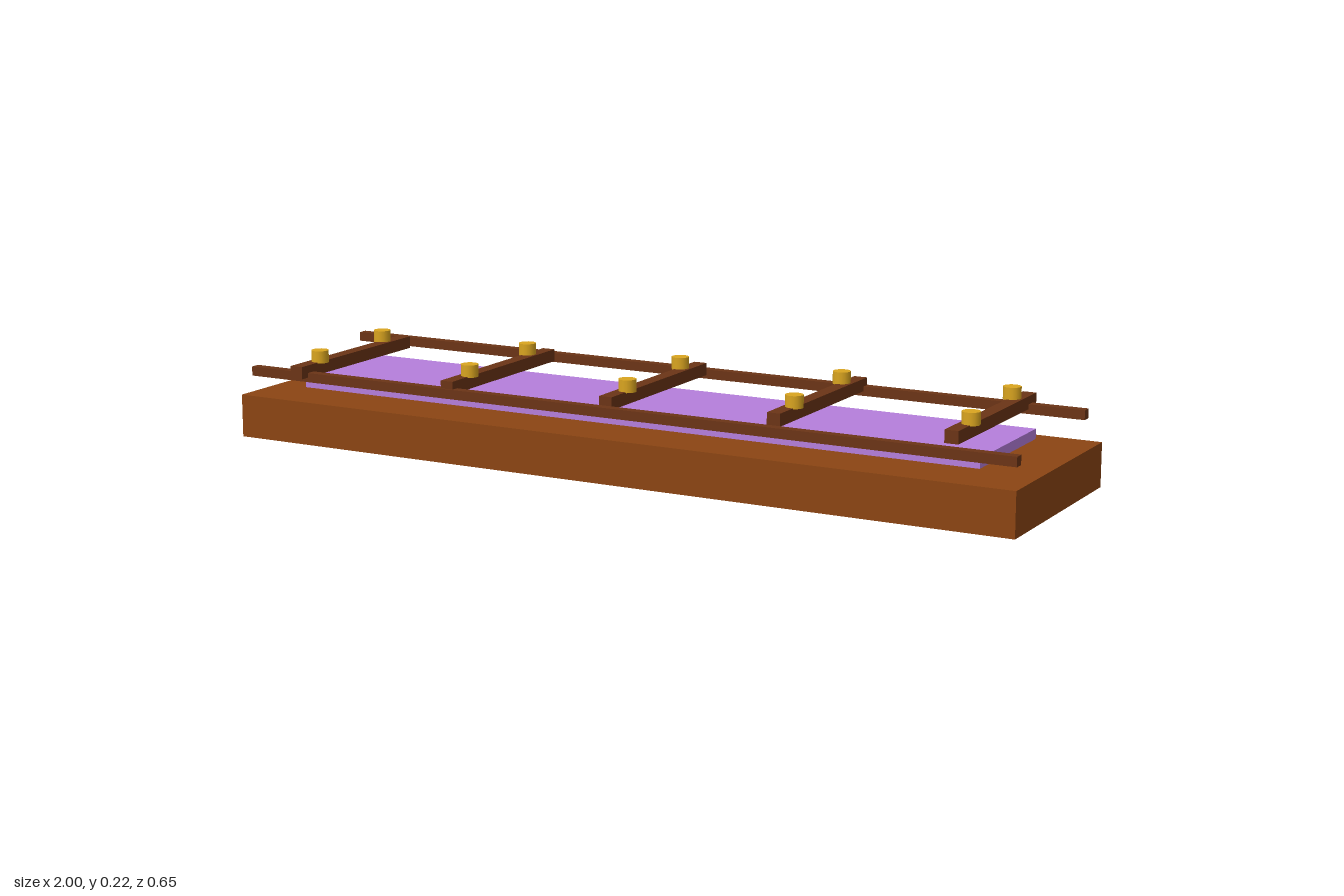
import * as THREE from 'three';

const TILT = -0.07; // every plank is turned about its own centre

export function createModel() {
  const model = new THREE.Group();
  const paint = (color) => new THREE.MeshStandardMaterial({ color });
  const wood = paint(0x8b4513);
  const darkWood = paint(0x6b3416);
  const lavender = paint(0xb57edc);
  const gold = paint(0xdaa520);

  const add = (name, geometry, material, x, y, z) => {
    const mesh = new THREE.Mesh(geometry, material);
    mesh.name = name;
    mesh.position.set(x, y, z);
    mesh.rotation.y = TILT;
    model.add(mesh);
  };

  // Base slab and the floating panel above it
  add('base', new THREE.BoxGeometry(1.969, 0.102, 0.511), wood, 0, 0.051, 0);
  add('panel', new THREE.BoxGeometry(1.731, 0.023, 0.322), lavender, 0, 0.1265, 0);

  // Long rails at front and back
  const rail = new THREE.BoxGeometry(1.935, 0.022, 0.023);
  for (const side of [1, -1]) {
    add(side > 0 ? 'frontRail' : 'backRail', rail, darkWood, 0, 0.163, side * 0.246);
  }

  // Cross bars, each with two round pegs on top
  const bar = new THREE.BoxGeometry(0.032, 0.029, 0.448);
  const peg = new THREE.CylinderGeometry(0.0205, 0.0205, 0.029, 16);
  for (let i = -2; i <= 2; i++) {
    const x = i * 0.4025;
    add('crossBar', bar, darkWood, x, 0.1775, 0);
    for (const side of [1, -1]) add('peg', peg, gold, x, 0.2045, side * 0.143);
  }
  return model;
}
